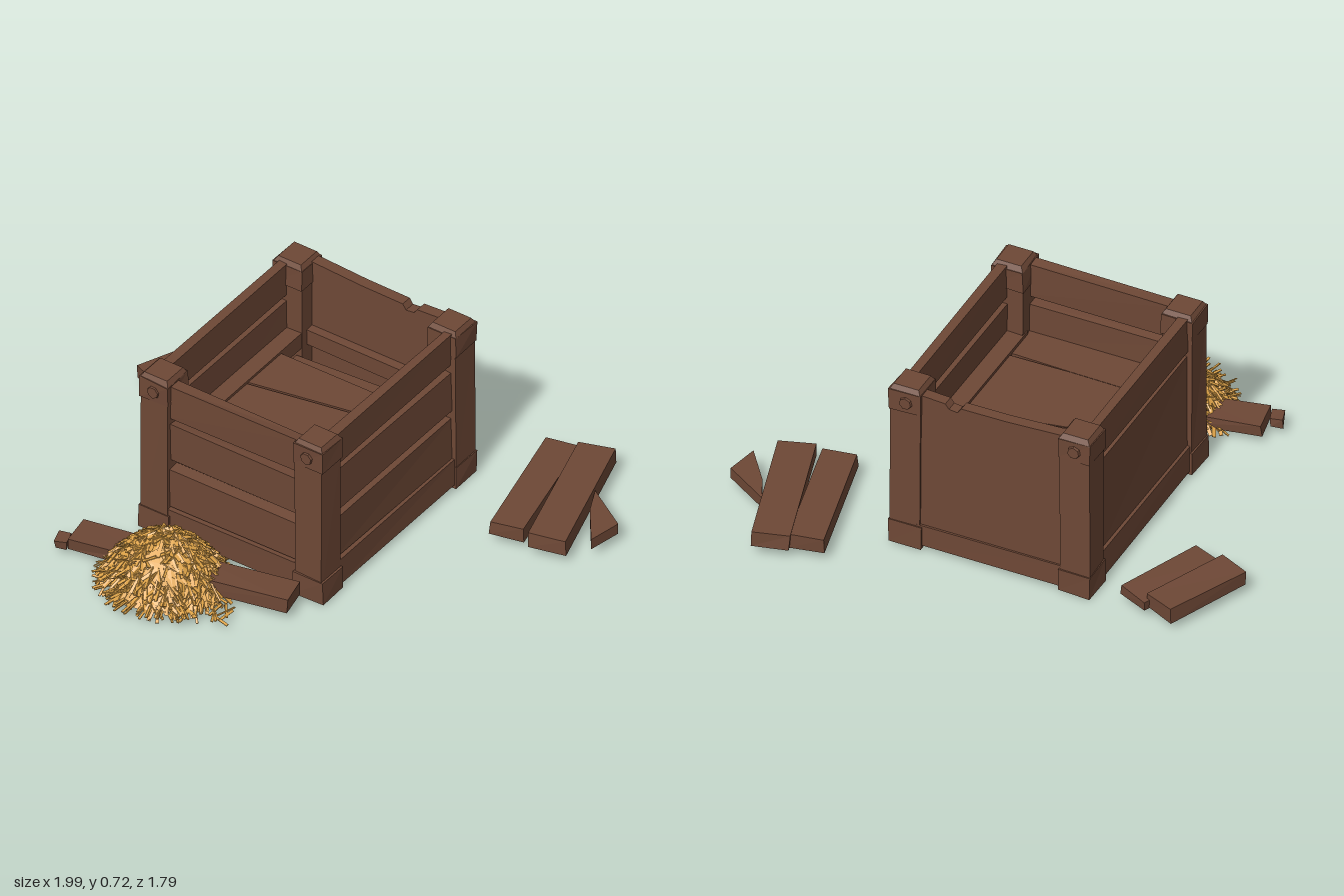
import * as THREE from 'three';
import { mergeGeometries } from 'three/addons/utils/BufferGeometryUtils.js';

export function createModel() {
  const model = new THREE.Group();
  model.name = 'brokenCrate';
  const wood = new THREE.MeshStandardMaterial({ color: 0x6e4836, flatShading: true });
  wood.name = 'brown wood';
  const straw = new THREE.MeshStandardMaterial({ color: 0xdea348, flatShading: true });
  straw.name = 'golden straw';

  let seed = 7;
  const rand = (a = 0, b = 1) => {
    seed = (seed * 16807) % 2147483647;
    return a + (b - a) * (seed / 2147483647);
  };

  function add(name, geo, mat, parent = model) {
    const mesh = new THREE.Mesh(geo, mat);
    mesh.name = name;
    parent.add(mesh);
    return mesh;
  }

  // Hand-hewn box: each of the eight corners is nudged a little
  function roughBox(w, h, d, jitter = 0.005) {
    const geo = new THREE.BoxGeometry(w, h, d);
    const pos = geo.attributes.position;
    const nudges = Array.from({ length: 24 }, () => rand(-jitter, jitter));
    for (let i = 0; i < pos.count; i++) {
      const x = pos.getX(i), y = pos.getY(i), z = pos.getZ(i);
      const k = 3 * ((x > 0 ? 1 : 0) + (y > 0 ? 2 : 0) + (z > 0 ? 4 : 0));
      pos.setXYZ(i, x + nudges[k], y + nudges[k + 1], z + nudges[k + 2]);
    }
    geo.computeVertexNormals();
    return geo;
  }

  // Box given by its extents on each axis
  function board(name, x0, x1, y0, y1, z0, z1, jitter, parent) {
    const mesh = add(name, roughBox(x1 - x0, y1 - y0, z1 - z0, jitter), wood, parent);
    mesh.position.set((x0 + x1) / 2, (y0 + y1) / 2, (z0 + z1) / 2);
    return mesh;
  }

  const crate = new THREE.Group();
  crate.name = 'crate';
  model.add(crate);

  // Corner posts with bevelled caps, feet and pegs
  for (const x of [-0.435, 0.26]) {
    for (const z of [-0.53, 0.325]) {
      const post = new THREE.Group();
      post.name = 'cornerPost';
      post.position.set(x, 0, z);
      crate.add(post);
      board('postShaft', -0.061, 0.061, 0.04, 0.64, -0.061, 0.061, 0.003, post);
      board('postCap', -0.065, 0.065, 0.61, 0.7, -0.065, 0.065, 0.003, post);
      const bevel = add('capBevel', new THREE.CylinderGeometry(0.072, 0.09, 0.022, 4), wood, post);
      bevel.rotation.y = Math.PI / 4;
      bevel.position.y = 0.708;
      board('postFoot', -0.066, 0.066, 0.003, 0.1, -0.066, 0.066, 0.003, post);
      const peg = add('peg', new THREE.CylinderGeometry(0.024, 0.028, 0.014, 7), wood, post);
      peg.rotation.x = z > 0 ? Math.PI / 2 : -Math.PI / 2;
      peg.position.set(x > 0 ? -0.005 : 0, 0.655, z > 0 ? 0.066 : -0.066);
    }
  }

  // Front and right walls: rail at the bottom and three slats with gaps
  const frontRows = [[0.14, 0.312], [0.35, 0.52], [0.548, 0.698]];
  for (const [y0, y1] of frontRows) board('frontSlat', -0.4, 0.23, y0, y1, 0.325, 0.368, 0.005, crate);
  board('frontRail', -0.4, 0.23, 0.018, 0.132, 0.325, 0.38, 0.003, crate);
  const rightRows = [[0.135, 0.32], [0.355, 0.532], [0.562, 0.705]];
  for (const [y0, y1] of rightRows) board('rightSlat', 0.265, 0.303, y0, y1, -0.5, 0.3, 0.004, crate);
  board('rightRail', 0.25, 0.316, 0.018, 0.13, -0.5, 0.3, 0.003, crate);

  // Left wall: a tall board, a top board and a rail
  board('leftPanel', -0.478, -0.44, 0.1, 0.535, -0.5, 0.3, 0.003, crate);
  board('leftTopBoard', -0.478, -0.44, 0.562, 0.705, -0.5, 0.3, 0.003, crate);
  board('leftRail', -0.491, -0.43, 0.018, 0.13, -0.5, 0.3, 0.003, crate);

  // Back wall: one solid panel with a chipped top edge
  const back = new THREE.Shape([
    [-0.4, 0.02], [0.23, 0.02], [0.23, 0.7], [0.1, 0.692], [0.085, 0.672],
    [0.05, 0.668], [0.035, 0.69], [-0.15, 0.692], [-0.4, 0.705],
  ].map(([x, y]) => new THREE.Vector2(x, y)));
  const panel = add('backPanel', new THREE.ExtrudeGeometry(back, { depth: 0.045, bevelEnabled: false }), wood, crate);
  panel.position.z = -0.58;
  board('backRail', -0.4, 0.23, 0.018, 0.11, -0.587, -0.53, 0.002, crate);

  // Underside sheet and inner ledges that carry the shelf
  board('crateBottom', -0.47, 0.3, 0.015, 0.045, -0.56, 0.36, 0, crate);
  board('leftLedge', -0.45, -0.375, 0.34, 0.41, -0.5, 0.3, 0.003, crate);
  board('rightLedge', 0.195, 0.275, 0.34, 0.41, -0.5, 0.3, 0.003, crate);
  board('backLedge', -0.4, 0.23, 0.34, 0.41, -0.545, -0.5, 0.003, crate);

  // Shelf boards split along slanted cracks, as outlines in x and z
  function slab(name, outline, y0, y1, parent = model) {
    const shape = new THREE.Shape(outline.map(([x, z]) => new THREE.Vector2(x, -z)));
    const geo = new THREE.ExtrudeGeometry(shape, { depth: y1 - y0, bevelEnabled: false });
    geo.rotateX(-Math.PI / 2);
    add(name, geo, wood, parent).position.y = y0;
  }
  slab('shelfBoard', [[-0.39, -0.34], [0.21, -0.345], [0.21, -0.237], [-0.39, -0.125]], 0.365, 0.4, crate);
  slab('shelfBoard', [[-0.39, -0.118], [0.21, -0.23], [0.21, 0.15], [-0.05, 0.155], [-0.39, 0.15]], 0.365, 0.398, crate);
  slab('shelfBoard', [[-0.39, 0.155], [-0.05, 0.16], [0.21, 0.168], [0.21, 0.33], [-0.39, 0.33]], 0.365, 0.395, crate);
  slab('shelfBoard', [[-0.39, -0.46], [0.21, -0.5], [0.21, -0.42], [-0.39, -0.37]], 0.28, 0.31, crate);

  // Loose planks: centre x, y, z, length along z, width, thickness, turn, tilt
  const planks = [
    [-0.862, 0.066, -0.44, 0.36, 0.135, 0.062, -0.4, 0],
    [-0.742, 0.058, -0.412, 0.37, 0.135, 0.045, -0.4, 0.04],
    [0.61, 0.066, -0.56, 0.545, 0.135, 0.06, 0.23, 0],
    [0.757, 0.07, -0.595, 0.585, 0.145, 0.062, 0.285, 0],
    [0.04, 0.062, 0.522, 0.44, 0.125, 0.055, 1.8, 0],
    [-0.46, 0.055, 0.585, 0.34, 0.13, 0.05, 1.76, 0],
    [-0.65, 0.042, 0.665, 0.06, 0.045, 0.035, 0.35, 0],
  ];
  for (const [x, y, z, len, w, t, turn, tilt] of planks) {
    const plank = add('loosePlank', roughBox(w, t, len, 0.004), wood);
    plank.position.set(x, y, z);
    plank.rotation.set(0, turn, tilt);
  }
  slab('splinter', [[0.81, -0.665], [0.995, -0.55], [0.968, -0.415], [0.86, -0.56]], 0.04, 0.085);

  // Straw heap: a lumpy mound covered in thin blades
  const heap = new THREE.Group();
  heap.name = 'strawHeap';
  heap.position.set(-0.23, 0, 0.6);
  model.add(heap);
  const profile = [[0, 0.02], [0.24, 0.02], [0.215, 0.05], [0.175, 0.105], [0.12, 0.165], [0.06, 0.2], [0, 0.208]];
  const mound = new THREE.LatheGeometry(profile.map(([r, y]) => new THREE.Vector2(r, y)), 18);
  const mp = mound.attributes.position;
  for (let i = 0; i < mp.count; i++) {
    const a = Math.atan2(mp.getZ(i), mp.getX(i));
    const s = 1 + 0.05 * Math.sin(5 * a + 40 * mp.getY(i));
    mp.setXYZ(i, mp.getX(i) * s, mp.getY(i), mp.getZ(i) * s * 0.9);
  }
  add('strawMound', mound, straw, heap);

  const heightAt = (r) => 0.21 * Math.max(0, 1 - Math.pow(r / 0.255, 1.5)) + 0.022;
  const blades = [];
  const holder = new THREE.Object3D();
  function blade(x, y, z, dx, dy, dz, len, w) {
    const geo = new THREE.BoxGeometry(w, 0.004, len);
    holder.position.set(x, y, z);
    holder.lookAt(x + dx, y + dy, z + dz);
    holder.rotateZ(rand(-0.7, 0.7));
    holder.updateMatrix();
    blades.push(geo.applyMatrix4(holder.matrix));
  }
  for (let i = 0; i < 620; i++) {
    const a = rand(0, Math.PI * 2), r = 0.25 * Math.sqrt(rand());
    const yaw = a + rand(-1.1, 1.1);
    const slope = (heightAt(r + 0.01) - heightAt(r)) / 0.01;
    blade(r * Math.cos(a), heightAt(r), r * Math.sin(a) * 0.88,
      Math.cos(yaw), Math.max(slope, -1) * Math.cos(yaw - a) * 0.8, Math.sin(yaw),
      rand(0.05, 0.12), rand(0.007, 0.016));
  }
  // Stray blades lying flat around the heap and along the crate
  for (let i = 0; i < 70; i++) {
    const a = rand(-0.3, Math.PI + 0.3), r = rand(0.21, 0.25);
    blade(r * Math.cos(a), rand(0.022, 0.04), r * Math.sin(a), Math.cos(a), 0, Math.sin(a) + rand(-0.5, 0.5), rand(0.05, 0.1), 0.009);
  }
  for (let i = 0; i < 70; i++) {
    const t = rand();
    blade(-0.16 + 0.52 * t, 0.024 + 0.06 * rand() * (1 - t), rand(-0.17, -0.06 - 0.1 * t), rand(-1, 1), 0, rand(-0.3, 0.3), rand(0.05, 0.09), 0.012);
  }
  for (let i = 0; i < 8; i++) {
    blade(0.29 + rand(-0.03, 0.03), 0.025, 0.08 + rand(-0.04, 0.04), rand(-1, 1), 0, rand(-1, 1), 0.08, 0.01);
  }
  add('strawBlades', mergeGeometries(blades), straw, heap);

  // Straw left inside the crate, seen through the broken shelf
  const scraps = [];
  for (let i = 0; i < 40; i++) {
    const geo = new THREE.BoxGeometry(rand(0.05, 0.09), 0.005, 0.014);
    geo.rotateY(rand(-0.4, 0.4));
    geo.translate(i < 20 ? rand(-0.34, -0.22) : rand(0.07, 0.16), 0.315 + rand(0, 0.006), rand(-0.385, -0.355));
    scraps.push(geo);
  }
  add('strawScraps', mergeGeometries(scraps), straw, crate);

  return model;
}
